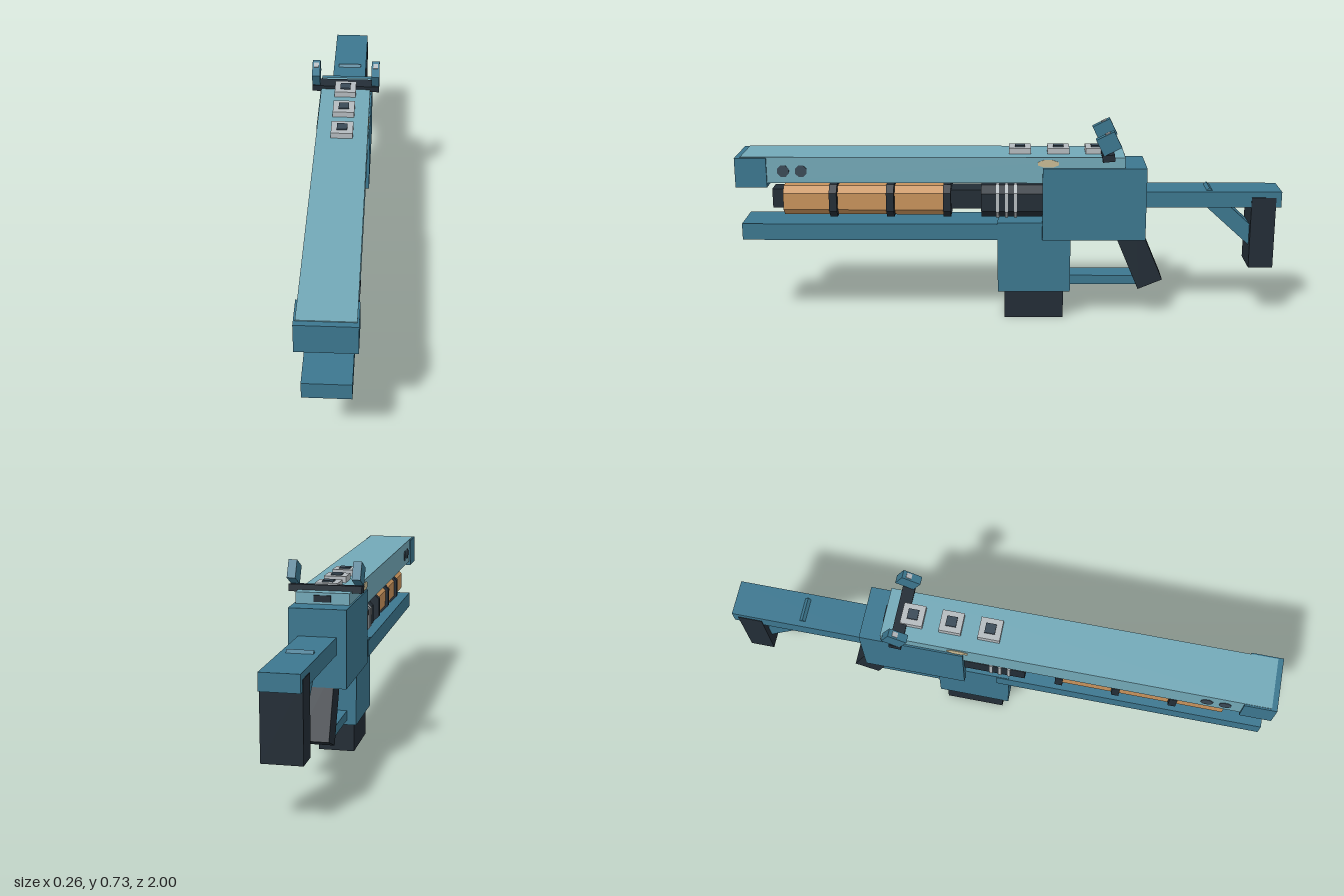
import * as THREE from 'three';

const mat = (name, color) => {
  const m = new THREE.MeshStandardMaterial({ color });
  m.name = name;
  return m;
};

export function createModel() {
  const teal = mat('teal', 0x3c778f);
  const paleTeal = mat('paleTeal', 0x73a9b8);
  const dark = mat('darkSlate', 0x232d36);
  const copper = mat('copper', 0xc8935c);
  const silver = mat('silver', 0xb5bbbf);
  const slate = mat('slateBlue', 0x3a4a57);
  const sand = mat('sand', 0xc9bb94);

  const model = new THREE.Group();
  const add = (name, geometry, material, parent = model) => {
    const mesh = new THREE.Mesh(geometry, material);
    mesh.name = name;
    parent.add(mesh);
    return mesh;
  };

  // Box from half width, y range and z range, centred on x = 0
  const block = (name, material, hx, y0, y1, z0, z1, x = 0) => {
    const mesh = add(name, new THREE.BoxGeometry(hx * 2, y1 - y0, z1 - z0), material);
    mesh.position.set(x, (y0 + y1) / 2, (z0 + z1) / 2);
    return mesh;
  };

  // Box tilted about the x axis
  const tilted = (name, material, size, pos, angle) => {
    const mesh = add(name, new THREE.BoxGeometry(...size), material);
    mesh.position.set(...pos);
    mesh.rotation.x = angle;
    return mesh;
  };

  // Chamfered rectangular section extruded along z
  const barrelY = 0.453;
  const chamfered = (name, material, hx, hy, c, z0, z1) => {
    const pts = [[hx, c - hy], [hx, hy - c], [hx - c, hy], [c - hx, hy],
      [-hx, hy - c], [-hx, c - hy], [c - hx, -hy], [hx - c, -hy]];
    const shape = new THREE.Shape(pts.map(p => new THREE.Vector2(...p)));
    const geometry = new THREE.ExtrudeGeometry(shape, { depth: z1 - z0, bevelEnabled: false });
    add(name, geometry, material).position.set(0, barrelY, z0);
  };

  // Upper housing and muzzle cap
  block('upperHousing', paleTeal, 0.094, 0.531, 0.627, -0.42, 0.98);
  block('muzzleCap', teal, 0.1, 0.515, 0.624, 0.885, 1);
  block('housingRearPort', dark, 0.03, 0.595, 0.618, -0.424, -0.418);

  // Lower rail, receiver and magazine
  block('lowerRail', teal, 0.081, 0.309, 0.371, 0, 0.99);
  block('receiver', teal, 0.1, 0.315, 0.587, -0.5, -0.12);
  block('magazineWell', teal, 0.079, 0.107, 0.375, -0.225, 0.045);
  block('magazine', dark, 0.066, 0, 0.108, -0.2, 0.02);

  // Barrel core with copper coils between dark bands
  block('barrelCore', dark, 0.034, 0.42, 0.492, -0.15, 0.88);
  block('barrelCollar', dark, 0.045, 0.42, 0.492, 0.1, 0.225);
  for (const [z0, z1] of [[0.665, 0.835], [0.455, 0.635], [0.245, 0.425]]) {
    chamfered('copperCoil', copper, 0.069, 0.055, 0.024, z0, z1);
    chamfered('coilBand', dark, 0.08, 0.061, 0.027, z0 - 0.028, z0);
  }
  chamfered('breechBlock', dark, 0.08, 0.061, 0.027, -0.13, 0.105);
  for (const z of [0.045, 0.012, -0.021]) {
    chamfered('breechRing', silver, 0.083, 0.064, 0.028, z - 0.006, z + 0.006);
  }

  // Grip and lower guard
  tilted('grip', dark, [0.11, 0.26, 0.098], [0, 0.248, -0.476], 0.4);
  block('triggerGuard', teal, 0.045, 0.125, 0.16, -0.48, -0.22);

  // Stock
  block('stockBar', teal, 0.066, 0.432, 0.492, -1, -0.49);
  block('buttPad', dark, 0.068, 0.2, 0.47, -0.98, -0.89);
  tilted('stockStrut', teal, [0.09, 0.29, 0.06], [0, 0.383, -0.823], 0.835);

  // Rear sight: crossbar with two tilted posts
  tilted('sightCrossbar', dark, [0.256, 0.025, 0.045], [0, 0.631, -0.357], 0.1);
  for (const s of [-1, 1]) {
    const post = tilted('sightPost', teal, [0.03, 0.066, 0.072], [s * 0.113, 0.685, -0.357], 0.46);
    const mark = add('sightMark', new THREE.BoxGeometry(0.018, 0.004, 0.02), silver, post);
    mark.position.set(0, 0.034, -0.012);
  }

  // Top buttons
  for (const z of [-0.037, -0.178, -0.318]) {
    block('buttonBase', silver, 0.04, 0.622, 0.649, z - 0.04, z + 0.04);
    block('buttonTop', slate, 0.019, 0.645, 0.654, z - 0.019, z + 0.019);
  }

  // Thin round details on both sides of the housing
  const disc = new THREE.CylinderGeometry(1, 1, 0.008, 8).rotateX(0).rotateY(Math.PI / 8).rotateZ(Math.PI / 2);
  for (const s of [-1, 1]) {
    for (const z of [0.825, 0.76]) {
      const vent = add('sideVent', disc, slate);
      vent.scale.set(1, 0.023, 0.023);
      vent.position.set(s * 0.092, 0.575, z);
    }
    const light = add('sideLight', disc, sand);
    light.scale.set(1, 0.015, 0.041);
    light.position.set(s * 0.092, 0.604, -0.14);
  }

  return model;
}
